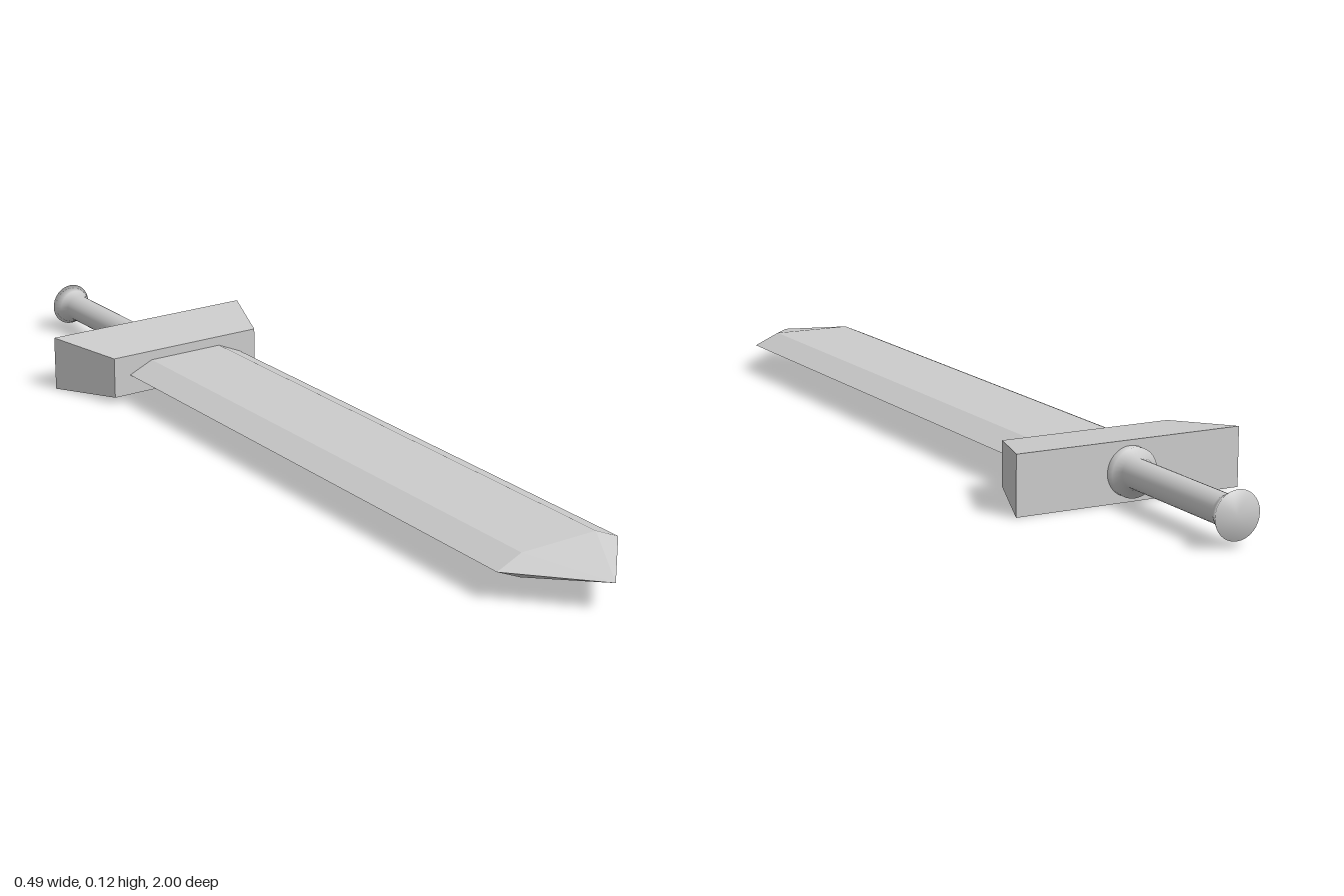
import * as THREE from 'three';

const MID = 0.061; // height of the sword's long axis

// Joins scaled copies of an outline (anticlockwise seen from +z) along z and closes both ends.
function loft(outline, sections) {
  const n = outline.length;
  const positions = [];
  const rings = sections.map(({ z, sx, sy }) => outline.map(([x, y]) => [x * sx, y * sy, z]));
  const tri = (a, b, c) => positions.push(...a, ...b, ...c);
  for (let s = 0; s < rings.length - 1; s++) {
    const a = rings[s], b = rings[s + 1];
    const pointed = sections[s + 1].sx === 0;
    for (let i = 0; i < n; i++) {
      const j = (i + 1) % n;
      tri(a[i], a[j], b[j]);
      if (!pointed) tri(a[i], b[j], b[i]);
    }
  }
  const first = rings[0], last = rings[rings.length - 1];
  for (let i = 1; i < n - 1; i++) {
    tri(first[0], first[i + 1], first[i]);
    if (sections[sections.length - 1].sx > 0) tri(last[0], last[i], last[i + 1]);
  }
  const geometry = new THREE.BufferGeometry();
  geometry.setAttribute('position', new THREE.Float32BufferAttribute(positions, 3));
  geometry.computeVertexNormals();
  return geometry;
}

export function createModel() {
  const group = new THREE.Group();
  group.name = 'sword';
  const flat = new THREE.MeshStandardMaterial({ color: 0xcccccc, flatShading: true });
  const smooth = new THREE.MeshStandardMaterial({ color: 0xcccccc });

  const add = (name, geometry, material) => {
    const mesh = new THREE.Mesh(geometry, material);
    mesh.name = name;
    mesh.position.y = MID;
    group.add(mesh);
  };

  // Blade: flattened hexagon drawn out to a point
  const hexagon = [[0.147, 0], [0.09, 0.025], [-0.09, 0.025], [-0.147, 0], [-0.09, -0.025], [0.09, -0.025]];
  add('blade', loft(hexagon, [
    { z: -0.5, sx: 1, sy: 1 },
    { z: 0.84, sx: 1, sy: 1 },
    { z: 1, sx: 0, sy: 0 },
  ]), flat);

  // Guard: block tapering toward the blade
  const rectangle = [[1, 1], [-1, 1], [-1, -1], [1, -1]];
  add('guard', loft(rectangle, [
    { z: -0.635, sx: 0.247, sy: 0.061 },
    { z: -0.47, sx: 0.187, sy: 0.046 },
  ]), flat);

  // Handle: flared pommel, round grip and collar turned about z
  const profile = [
    [0, -1], [0.048, -1], [0.038, -0.98], [0.03, -0.963],
    [0.03, -0.655], [0.05, -0.653], [0.05, -0.63],
  ].map(([r, z]) => new THREE.Vector2(r, z));
  add('handle', new THREE.LatheGeometry(profile, 32).rotateX(Math.PI / 2), smooth);

  return group;
}
